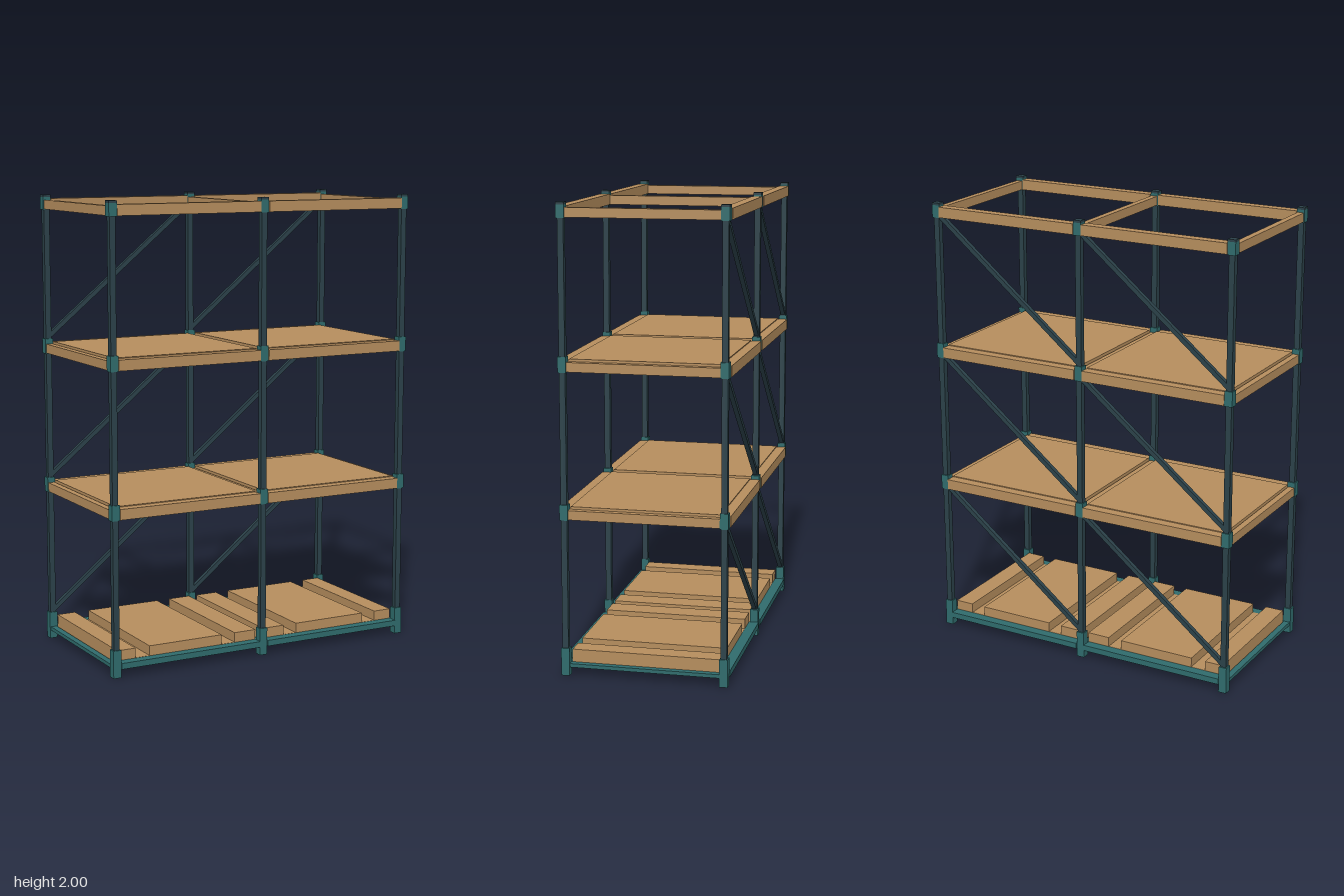
import * as THREE from 'three';

export function createModel() {
  const root = new THREE.Group();
  root.name = 'storageRack';

  const mat = (name, color) => {
    const m = new THREE.MeshStandardMaterial({ color });
    m.name = name;
    return m;
  };
  const wood = mat('wood', 0xb58d5d);
  const teal = mat('teal metal', 0x2f6b6c);
  const slate = mat('dark slate metal', 0x2b4149);

  // Box given by its limits on each axis
  const box = (name, m, x0, x1, y0, y1, z0, z1, parent = root) => {
    const mesh = new THREE.Mesh(new THREE.BoxGeometry(x1 - x0, y1 - y0, z1 - z0), m);
    mesh.position.set((x0 + x1) / 2, (y0 + y1) / 2, (z0 + z1) / 2);
    mesh.name = name;
    parent.add(mesh);
    return mesh;
  };

  const X = 0.708, Z = 0.341;
  const columns = [-X, 0, X];
  const levels = [0.68, 1.305, 1.938]; // underside of the beams

  // Posts with feet, sleeves and caps
  for (const x of columns) {
    for (const z of [-Z, Z]) {
      const post = new THREE.Group();
      post.name = 'post';
      root.add(post);
      const section = (name, m, h, y0, y1) =>
        box(name, m, x - h, x + h, y0, y1, z - h, z + h, post);
      section('postTube', slate, 0.013, 0.01, 1.99);
      section('foot', teal, 0.018, 0, 0.12);
      levels.forEach((y, i) => section('sleeve', teal, 0.018, y - 0.003, i === 2 ? 1.99 : y + 0.063));
      section('cap', slate, 0.018, 1.99, 2);
    }
  }

  // Ring of long beams and cross beams for one level
  const frame = (name, m, y0, yLong, yCross) => {
    const g = new THREE.Group();
    g.name = name;
    root.add(g);
    for (const s of [-1, 1]) {
      for (const z of [-Z, Z]) {
        const c = s * 0.355;
        box('longBeam', m, c - 0.335, c + 0.335, y0, yLong, z - 0.022, z + 0.022, g);
      }
    }
    for (const x of columns) box('crossBeam', m, x - 0.014, x + 0.014, y0, yCross, -0.323, 0.323, g);
  };
  frame('baseFrame', teal, 0.037, 0.063, 0.053);
  levels.forEach((y) => frame('shelfFrame', wood, y, y + 0.046, y + 0.04));

  // Shelf boards, base boards and pallet planks in both bays
  const planks = [[0.02, 0.124], [0.188, 0.538], [0.605, 0.69]];
  for (const s of [-1, 1]) {
    const span = (a, b) => (s > 0 ? [a, b] : [-b, -a]);
    const [x0, x1] = span(0.02, 0.69);
    for (const y of levels.slice(0, 2)) box('shelfBoard', wood, x0, x1, y + 0.032, y + 0.05, -0.319, 0.319);
    box('baseBoard', wood, x0, x1, 0.046, 0.064, -0.319, 0.319);
    for (const [a, b] of planks) {
      const [p, q] = span(a, b);
      box('plank', wood, p, q, 0.064, 0.107, -0.319, 0.319);
    }
  }

  // Diagonal braces across the back
  const starts = [0.125, 0.75, 1.375];
  for (const x of [-X, 0]) {
    starts.forEach((y, i) => {
      const a = new THREE.Vector2(x, y);
      const b = new THREE.Vector2(x + X, levels[i] + 0.015);
      const d = b.clone().sub(a);
      const brace = new THREE.Mesh(new THREE.BoxGeometry(d.length(), 0.02, 0.02), slate);
      brace.position.set((a.x + b.x) / 2, (a.y + b.y) / 2, -Z);
      brace.rotation.z = d.angle();
      brace.name = 'backBrace';
      root.add(brace);
    });
  }

  return root;
}
